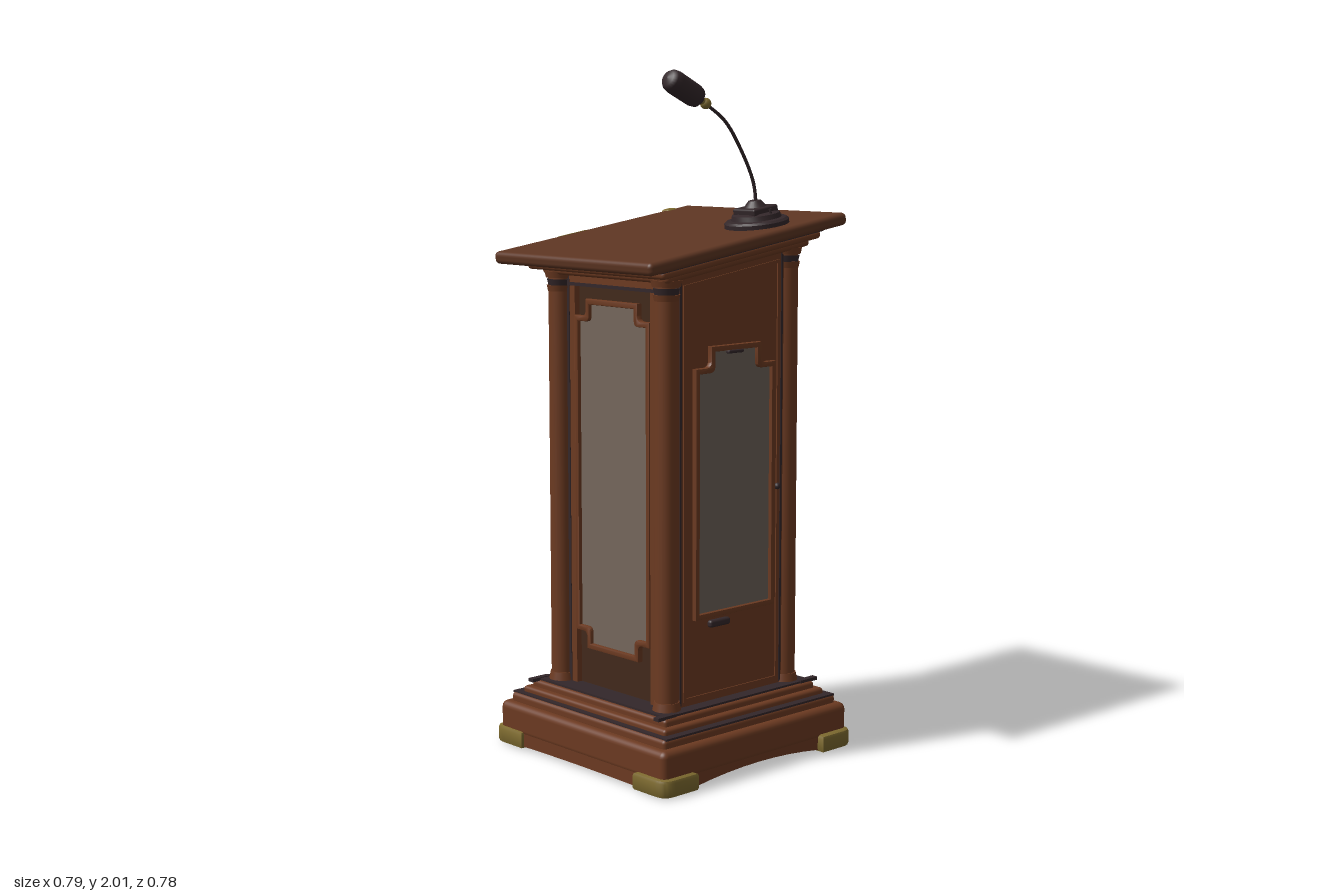
import * as THREE from 'three';
import { RoundedBoxGeometry } from 'three/addons/geometries/RoundedBoxGeometry.js';
import { toCreasedNormals } from 'three/addons/utils/BufferGeometryUtils.js';

const mat = (name, color) => {
  const m = new THREE.MeshStandardMaterial({ color });
  m.name = name;
  return m;
};

export function createModel() {
  const wood = mat('wood', 0x6c3a21);
  const panelWood = mat('panelWood', 0x5d3522);
  const darkWood = mat('darkWood', 0x42291b);
  const black = mat('blackMetal', 0x33272a);
  const brass = mat('brass', 0x7d6a2f);
  const glass = mat('greyGlass', 0x6c6259);
  const sideGlass = mat('warmGlass', 0x75675c);

  const model = new THREE.Group();
  model.name = 'lectern';
  const add = (parent, name, geo, material, x = 0, y = 0, z = 0) => {
    const m = new THREE.Mesh(geo, material);
    m.name = name;
    m.position.set(x, y, z);
    parent.add(m);
    return m;
  };
  const group = (name, parent = model) => {
    const g = new THREE.Group();
    g.name = name;
    parent.add(g);
    return g;
  };
  const box = (w, h, d) => new THREE.BoxGeometry(w, h, d);
  const rbox = (w, h, d, r) => new RoundedBoxGeometry(w, h, d, 3, r);
  const extrude = (shape, depth, bevel = 0) => toCreasedNormals(new THREE.ExtrudeGeometry(shape, {
    depth, curveSegments: 8, bevelEnabled: bevel > 0, bevelSize: bevel, bevelThickness: bevel,
    bevelOffset: -bevel, bevelSegments: 2,
  }), 0.6);

  // Stepped plinth
  const base = group('base');
  const tiers = [[0.75, 0.035, 0.13, 0.735, 0.02], [0.7, 0.12, 0.155, 0.685, 0.012],
    [0.65, 0.15, 0.175, 0.635, 0.01], [0.61, 0.165, 0.195, 0.595, 0.01]];
  tiers.forEach(([w, y0, y1, d, r], i) =>
    add(base, `plinthTier${i + 1}`, rbox(w, y1 - y0, d, r), wood, 0, (y0 + y1) / 2, 0));
  add(base, 'plinthTrim', box(0.59, 0.01, 0.575), black, 0, 0.196, 0);
  add(base, 'tierTrim', box(0.685, 0.006, 0.685), black, 0, 0.155, 0);
  add(base, 'underside', box(0.66, 0.01, 0.65), darkWood, 0, 0.032, 0);

  // Aprons around the bottom, arched in front only
  const apron = (half, rise) => {
    const s = new THREE.Shape();
    s.moveTo(-half, 0.07);
    s.lineTo(-half, 0.007);
    s.lineTo(-0.25, 0.007);
    s.quadraticCurveTo(0, 0.007 + rise, 0.25, 0.007);
    s.lineTo(half, 0.007);
    s.lineTo(half, 0.07);
    return extrude(s, 0.05);
  };
  for (const turn of [0, 1, 2, 3]) {
    const side = group('apronSide', base);
    side.rotation.y = turn * Math.PI / 2;
    add(side, 'apron', apron(turn % 2 ? 0.345 : 0.355, turn ? 0.005 : 0.036), wood, 0, 0, (turn % 2 ? 0.373 : 0.365) - 0.05);
  }

  // Brass corner feet
  const foot = new THREE.Shape();
  foot.moveTo(0.255, 0.383);
  foot.lineTo(0.345, 0.383);
  foot.quadraticCurveTo(0.388, 0.383, 0.388, 0.34);
  foot.lineTo(0.388, 0.25);
  foot.lineTo(0.338, 0.25);
  foot.lineTo(0.338, 0.333);
  foot.lineTo(0.255, 0.333);
  foot.closePath();
  const footGeo = extrude(foot, 0.033, 0.01).rotateX(-Math.PI / 2);
  for (let i = 0; i < 4; i++)
    add(base, 'brassFoot', footGeo, brass, 0, 0.01, 0).rotation.y = i * Math.PI / 2;

  // Body with a sloping top
  const slope = 0.147;
  const topY = (x) => 1.49 + slope * x;
  const slab = (half, y0, drop) => {
    const s = new THREE.Shape();
    s.moveTo(-half, y0);
    s.lineTo(half, y0);
    s.lineTo(half, topY(half) - drop);
    s.lineTo(-half, topY(-half) - drop);
    return s;
  };
  const body = group('body');
  add(body, 'core', extrude(slab(0.222, 0.19, 0), 0.47), darkWood, 0, 0, -0.235);
  for (const s of [1, -1]) {
    const boardWood = s > 0 ? wood : panelWood;
    add(body, s > 0 ? 'frontBoard' : 'backBoard', extrude(slab(0.23, 0.19, 0), 0.02), boardWood, 0, 0, s > 0 ? 0.228 : -0.248);
    // Raised border on front and back boards
    const border = slab(0.192, 0.215, 0.05);
    border.holes.push(slab(0.182, 0.225, 0.06));
    add(body, 'boardBorder', extrude(border, 0.005), boardWood, 0, 0, s > 0 ? 0.247 : -0.252);
  }

  // Rails above the side panels
  for (const s of [1, -1]) {
    const y = s > 0 ? 1.485 : 1.43;
    add(body, 'sideRail', box(0.022, 0.06, 0.38), wood, s * 0.23, y, 0);
    add(body, 'sideRailTrim', box(0.024, 0.01, 0.37), black, s * 0.23, y - 0.035, 0);
  }

  // Corner pillars with rings, stiles and dark joint lines
  for (const sx of [1, -1]) for (const sz of [1, -1]) {
    const x = sx * 0.239, z = sz * 0.231, h = topY(x) - 0.19, mid = 0.19 + h / 2;
    add(body, 'pillar', new THREE.CylinderGeometry(0.034, 0.034, h, 20), wood, x, mid, z);
    add(body, 'pillarFoot', new THREE.CylinderGeometry(0.037, 0.042, 0.025, 20), wood, x, 0.212, z);
    for (const [dy, r, m] of [[0.075, 0.039, wood], [0.057, 0.038, black], [0.035, 0.045, wood]])
      add(body, 'pillarRing', new THREE.CylinderGeometry(r, r - 0.004, 0.018, 20), m, x, topY(x) - dy, z);
    add(body, 'stile', box(0.02, h, 0.042), wood, sx * 0.23, mid, sz * 0.184);
    add(body, 'sideJointLine', box(0.008, h, 0.01), black, sx * 0.238, mid, sz * 0.191);
    if (sz > 0) add(body, 'frontJointLine', box(0.007, h - 0.03, 0.006), black, sx * 0.202, mid, 0.247);
  }

  // Panels with notched corners
  const notched = (w, y0, y1, n, both, t = 0) => {
    const s = new THREE.Shape();
    const a = w - t, b = y0 + t, c = y1 - t, k = n * 0.35;
    s.moveTo(-a + (both ? n : 0), b);
    s.lineTo(a - (both ? n : 0), b);
    if (both) {
      s.lineTo(a - n, b + n - k);
      s.quadraticCurveTo(a - n, b + n, a - n + k, b + n);
      s.lineTo(a, b + n);
    }
    s.lineTo(a, c - n);
    s.lineTo(a - n + k, c - n);
    s.quadraticCurveTo(a - n, c - n, a - n, c - n + k);
    s.lineTo(a - n, c);
    s.lineTo(-a + n, c);
    s.lineTo(-a + n, c - n + k);
    s.quadraticCurveTo(-a + n, c - n, -a + n - k, c - n);
    s.lineTo(-a, c - n);
    if (both) {
      s.lineTo(-a, b + n);
      s.lineTo(-a + n - k, b + n);
      s.quadraticCurveTo(-a + n, b + n, -a + n, b + n - k);
    }
    s.closePath();
    return s;
  };
  const panel = (name, args, fill, rotY, x, z) => {
    const g = group(name, body);
    g.position.set(x, 0, z);
    g.rotation.y = rotY;
    const rim = notched(...args);
    rim.holes.push(notched(...args, 0.016));
    add(g, 'panelFrame', extrude(rim, 0.012, 0.004), wood, 0, 0, 0.004);
    add(g, 'panelFill', extrude(notched(...args, 0.01), 0.008), fill);
  };
  panel('frontWindow', [0.16, 0.45, 1.235, 0.06, false], glass, 0, 0.005, 0.244);
  panel('leftPanel', [0.163, 0.315, 1.355, 0.05, true], panelWood, Math.PI / 2, 0.224, 0);
  panel('rightWindow', [0.163, 0.315, 1.355, 0.05, true], sideGlass, -Math.PI / 2, -0.224, 0);

  // Small metal fittings
  const fittings = group('fittings');
  add(fittings, 'windowLatch', rbox(0.08, 0.022, 0.02, 0.008), black, -0.055, 0.43, 0.254);
  add(fittings, 'windowHinge', rbox(0.06, 0.01, 0.016, 0.004), black, 0, 1.215, 0.26);
  add(fittings, 'backHandle', rbox(0.09, 0.026, 0.035, 0.01), black, -0.05, 1.22, -0.265);
  add(fittings, 'keyKnob', new THREE.SphereGeometry(0.01, 12, 8), black, 0.185, 0.8, 0.252);
  for (const sx of [1, -1]) for (const sz of [1, -1])
    add(fittings, 'cornerClip', box(0.07, 0.01, 0.02), black, sx * 0.29, 0.198, sz * 0.28);

  // Tilted desk top with cornice
  const desk = group('desk');
  desk.position.y = 1.542;
  desk.rotation.z = Math.atan(slope);
  add(desk, 'deskTop', rbox(0.79, 0.037, 0.685, 0.014), panelWood, 0.005, -0.0185, -0.0175);
  add(desk, 'corniceGroove', box(0.65, 0.008, 0.61), black, 0, -0.039, -0.01);
  add(desk, 'corniceUpper', rbox(0.635, 0.024, 0.595, 0.011), wood, 0, -0.051, -0.005);
  add(desk, 'corniceLower', rbox(0.575, 0.024, 0.545, 0.011), wood, 0, -0.069, 0);
  add(desk, 'brassClip', rbox(0.045, 0.03, 0.035, 0.01), brass, 0.31, -0.011, -0.348);
  add(desk, 'brassInlay', box(0.11, 0.004, 0.005), brass, -0.095, -0.001, -0.345);

  // Microphone base
  const stand = group('microphoneBase', desk);
  stand.position.set(0.163, 0, 0.185);
  const disc = [[0, 0], [0.095, 0], [0.095, 0.012], [0.088, 0.018], [0.074, 0.02], [0.07, 0.034], [0.055, 0.038], [0, 0.038]]
    .map(([r, y]) => new THREE.Vector2(r, y));
  add(stand, 'standDisc', toCreasedNormals(new THREE.LatheGeometry(disc, 28), 0.5), black);
  add(stand, 'standBlock', rbox(0.1, 0.022, 0.09, 0.006), black, 0, 0.043, 0);
  add(stand, 'standCollar', new THREE.CylinderGeometry(0.018, 0.035, 0.02, 20), black, 0, 0.062, 0);
  for (const s of [1, -1])
    add(stand, 'standPin', new THREE.CylinderGeometry(0.004, 0.004, 0.03, 8), black, 0, 0.034, s * 0.06);

  // Gooseneck, brass joint and microphone head
  const mic = group('microphone');
  mic.position.z = 0.185;
  const path = new THREE.CatmullRomCurve3([[0.158, 1.62], [0.145, 1.69], [0.09, 1.79], [0.03, 1.865], [-0.045, 1.913]]
    .map(([x, y]) => new THREE.Vector3(x, y, 0)));
  add(mic, 'gooseneck', new THREE.TubeGeometry(path, 28, 0.005, 8), black);
  add(mic, 'brassJoint', new THREE.SphereGeometry(0.016, 16, 12), brass, -0.046, 1.914, 0);
  add(mic, 'brassStem', new THREE.CylinderGeometry(0.01, 0.01, 0.03, 12), brass, -0.059, 1.921, 0).rotation.z = 1.13;
  const headProfile = [[0, 0], [0.018, 0.002], [0.029, 0.012], [0.033, 0.028], [0.034, 0.108], [0.031, 0.126], [0.022, 0.137], [0, 0.14]]
    .map(([r, y]) => new THREE.Vector2(r, y));
  add(mic, 'microphoneHead', new THREE.LatheGeometry(headProfile, 20), black, -0.067, 1.925, 0).rotation.z = 1.13;

  return model;
}
